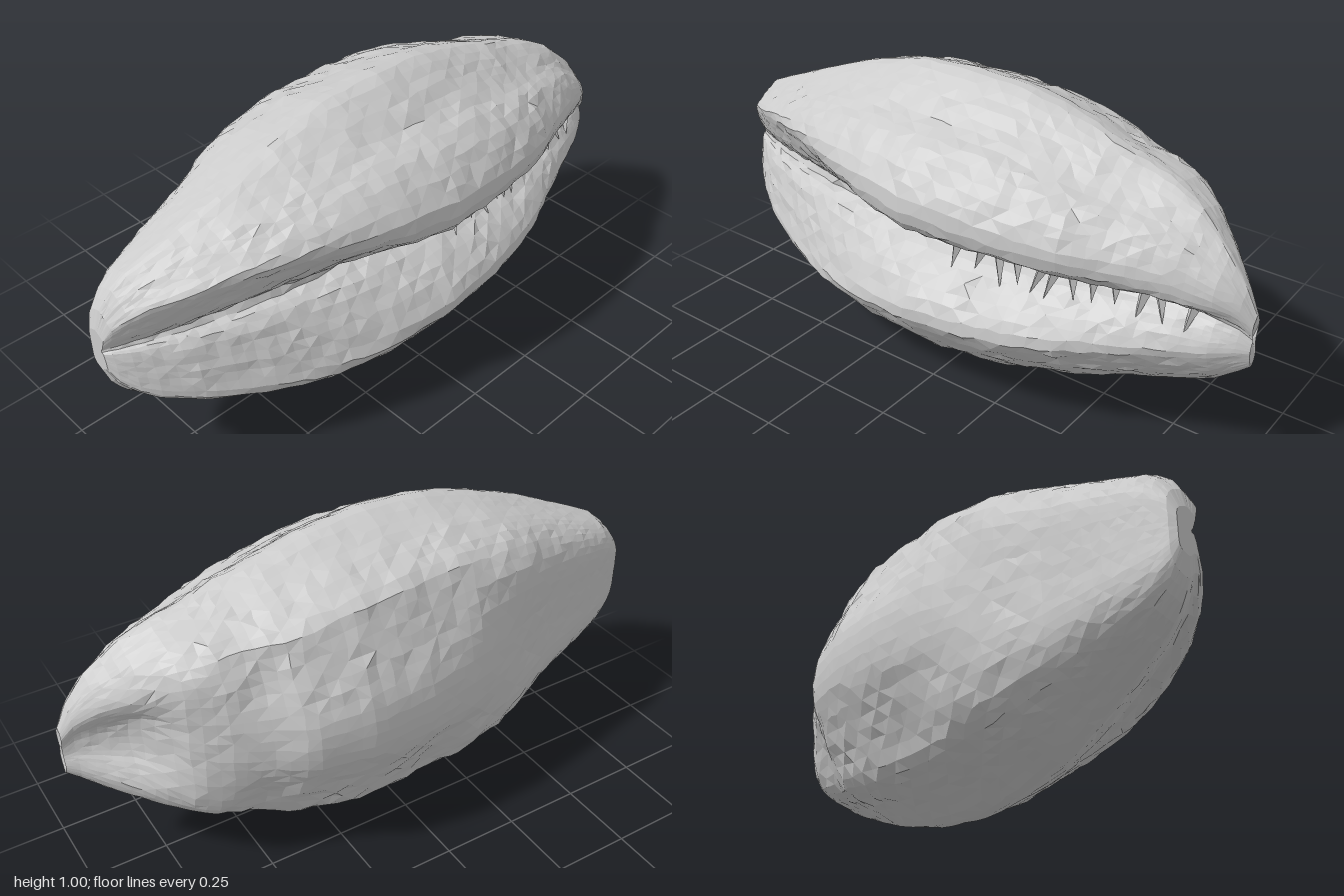
import * as THREE from 'three';

// Outline stations along the shell: x, top y, bottom y, back z, front z
const STATIONS = [
  [-1, 0.57, 0.42, -0.07, 0], [-0.985, 0.63, 0.37, -0.085, 0.025], [-0.95, 0.685, 0.32, -0.10, 0.06],
  [-0.9, 0.73, 0.28, -0.12, 0.10], [-0.8, 0.775, 0.235, -0.15, 0.165], [-0.6, 0.86, 0.155, -0.20, 0.255],
  [-0.4, 0.935, 0.07, -0.28, 0.325], [-0.2, 0.985, 0.015, -0.35, 0.375], [0, 0.996, -0.004, -0.388, 0.397],
  [0.2, 0.98, 0.015, -0.40, 0.382], [0.4, 0.93, 0.065, -0.37, 0.345], [0.5, 0.90, 0.10, -0.305, 0.315],
  [0.6, 0.865, 0.14, -0.26, 0.27], [0.7, 0.835, 0.18, -0.195, 0.235], [0.8, 0.785, 0.225, -0.11, 0.195],
  [0.9, 0.695, 0.285, -0.02, 0.155], [0.96, 0.62, 0.335, 0.03, 0.12], [1, 0.54, 0.37, 0.055, 0.095],
];
const ROWS = 60, RING = 76;
const { smoothstep, clamp } = THREE.MathUtils;

function station(x) {
  let i = 0;
  while (i < STATIONS.length - 2 && x > STATIONS[i + 1][0]) i++;
  const a = STATIONS[i], b = STATIONS[i + 1];
  const t = clamp((x - a[0]) / (b[0] - a[0]), 0, 1);
  const [, top, bottom, back, front] = a.map((v, k) => v + (b[k] - v) * t);
  return { top, bottom, midZ: (back + front) / 2, halfZ: (front - back) / 2 };
}

// Unit cross-section (depth, height): the mouth opens wide to the left and is a slit to the right
function section(x) {
  const w = 1 - smoothstep(x, -0.8, 0.05);
  const slit = smoothstep(x, -0.3, 0.3);
  const end = smoothstep(x, 0.8, 1);
  // The back has squarer shoulders toward both ends, and the cut right end is hollow
  const box = smoothstep(x, 0.45, 0.72) + 1 - smoothstep(x, -0.5, 0);
  const dent = 0.5 * smoothstep(x, 0.68, 0.84);
  const points = [
    [-1 + dent, 0], [-0.97 - 0.03 * box + dent * 0.9, 0.2], [-0.85 - 0.15 * box + dent * 0.3, 0.44],
    [-0.76 - 0.22 * box, 0.6], [-0.67 - 0.2 * box, 0.76], [-0.5 - 0.12 * box, 0.83 + 0.06 * box],
    [-0.25, 0.92 + 0.04 * box], [0.05, 1], [0.25, 0.92 + 0.03 * w], [0.5, 0.78 + 0.11 * w + 0.07 * end],
    [0.7, 0.71 + 0.11 * w + 0.1 * end],
    [0.88, 0.58 + 0.18 * w + 0.15 * end], [1, 0.4 + 0.3 * w + 0.2 * end], [0.97, 0.25 + 0.4 * w + 0.22 * end],
    [0.85, 0.17 + 0.32 * w + 0.18 * end], [0.68, 0.11 + 0.16 * w + 0.12 * end],
    [0.52 - 0.1 * w - 0.05 * slit, 0.05 + 0.08 * end], [0.66, -0.03], [0.84, -0.15 - 0.15 * w],
    [0.97, -0.29 - 0.34 * w], [1, -0.37 - 0.33 * w], [0.9, -0.5 - 0.28 * w], [0.75, -0.65 - 0.17 * w],
    [0.5, -0.82], [0.25, -0.93], [0.05, -1], [-0.25, -0.91 - 0.05 * box], [-0.5 - 0.12 * box, -0.83 - 0.05 * box],
    [-0.63 - 0.22 * box, -0.77], [-0.72 - 0.24 * box, -0.62], [-0.83 - 0.17 * box + dent * 0.3, -0.44],
    [-0.97 - 0.03 * box + dent * 0.9, -0.2],
  ].map(([u, v]) => new THREE.Vector3(u, v, 0));
  return new THREE.CatmullRomCurve3(points, true).getSpacedPoints(RING).slice(0, RING);
}

// Seeded values for the slightly rough surface
function seeded(seed) {
  return () => (seed = (seed * 16807) % 2147483647) / 2147483647 - 0.5;
}

function shellGeometry() {
  const random = seeded(77), positions = [], index = [];
  for (let i = 0; i <= ROWS; i++) {
    const x = -Math.cos((i / ROWS) * Math.PI) * 0.5 + (i / ROWS * 2 - 1) * 0.5;
    const s = station(x);
    const rough = 0.01 * Math.min(1, s.halfZ / 0.3);
    for (const p of section(x)) {
      const inside = i > 0 && i < ROWS;
      positions.push(
        x + (inside ? random() * rough : 0),
        (s.top + s.bottom) / 2 + p.y * (s.top - s.bottom) / 2 + (Math.abs(p.y) < 0.9 ? random() * rough : 0),
        s.midZ + p.x * s.halfZ + (Math.abs(p.x) < 0.95 ? random() * rough : 0));
    }
  }
  for (let i = 0; i < ROWS; i++) {
    for (let j = 0; j < RING; j++) {
      const k = (j + 1) % RING, a = i * RING, b = a + RING;
      // Alternate the diagonals so the facets look irregular
      if ((i + j) % 2) index.push(a + j, a + k, b + j, a + k, b + k, b + j);
      else index.push(a + j, a + k, b + k, a + j, b + k, b + j);
    }
  }
  // End caps
  const left = positions.length / 3, last = ROWS * RING;
  positions.push(-1, 0.495, -0.04, 0.99, 0.455, 0.07);
  for (let j = 0; j < RING; j++) {
    const k = (j + 1) % RING;
    index.push(left, k, j, left + 1, last + j, last + k);
  }
  const geometry = new THREE.BufferGeometry();
  geometry.setAttribute('position', new THREE.Float32BufferAttribute(positions, 3));
  geometry.setIndex(index);
  geometry.computeVertexNormals();
  return geometry;
}

export function createModel() {
  const model = new THREE.Group();
  model.name = 'shell';
  const material = new THREE.MeshStandardMaterial({ color: 0xcccccc, flatShading: true, side: THREE.DoubleSide });

  const body = new THREE.Mesh(shellGeometry(), material);
  body.name = 'shellBody';
  model.add(body);

  // Row of uneven ridges bridging the slit below the upper lip
  const teeth = new THREE.Group();
  teeth.name = 'teeth';
  const random = seeded(19);
  const toothGeometry = new THREE.ConeGeometry(0.024, 1, 4).rotateX(Math.PI);
  for (let i = 0; i < 12; i++) {
    const x = 0.13 + i * 0.063 + random() * 0.03, s = station(x);
    const height = 0.1 + random() * 0.05;
    const tooth = new THREE.Mesh(toothGeometry, material);
    tooth.name = 'tooth';
    tooth.scale.set(0.9, height, 1.1);
    tooth.position.set(x, 0.565 - height / 2, s.midZ + s.halfZ * 0.7);
    tooth.rotation.set(-0.35, 0, random() * 0.6);
    teeth.add(tooth);
  }
  model.add(teeth);
  return model;
}
